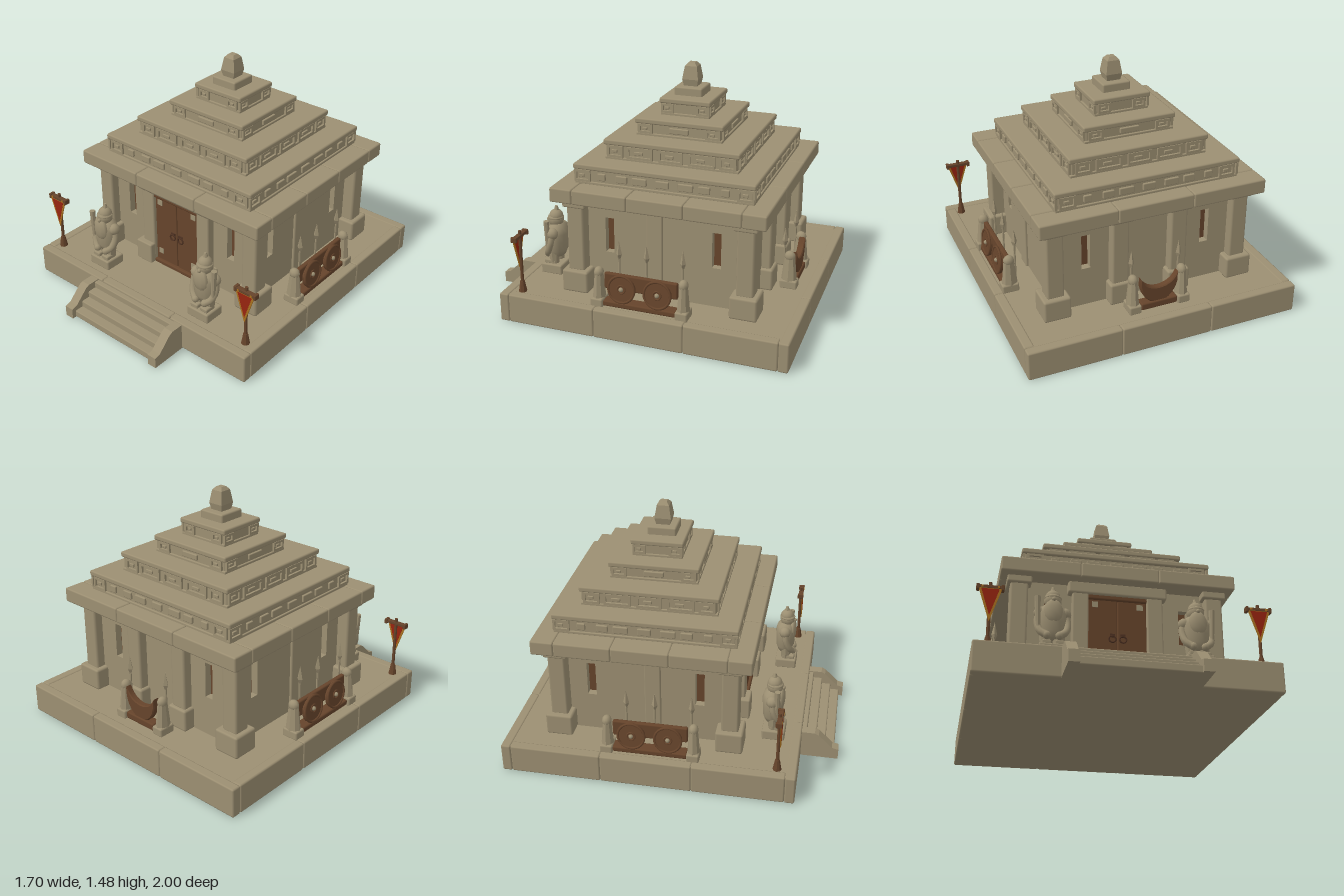
import * as THREE from 'three';
import { toCreasedNormals } from 'three/addons/utils/BufferGeometryUtils.js';
import { RoundedBoxGeometry } from 'three/addons/geometries/RoundedBoxGeometry.js';

const mat = (name, color) => Object.assign(new THREE.MeshStandardMaterial({ color }), { name });
const stone = mat('sandstone', 0x9c8f72);
const wood = mat('brown wood', 0x66442b);
const darkWood = mat('dark wood', 0x4f3222);
const red = mat('red cloth', 0x98240f);
const gold = mat('gold trim', 0xa9701f);
const CZ = -0.165; // centre of the building in z

const shapeOf = (pts, C = THREE.Shape) => new C(pts.map(q => new THREE.Vector2(...q)));
const rect = (C, x, y, a, b) => shapeOf([[x - a, y - b], [x + a, y - b], [x + a, y + b], [x - a, y + b]], C);

function add(parent, name, geo, material, x = 0, y = 0, z = 0) {
  const m = new THREE.Mesh(geo, material);
  m.name = name;
  m.position.set(x, y, z);
  parent.add(m);
  return m;
}
function group(parent, name, x = 0, y = 0, z = 0, ry = 0) {
  const g = new THREE.Group();
  g.name = name;
  g.position.set(x, y, z);
  g.rotation.y = ry;
  parent.add(g);
  return g;
}
// Worn block given by its limits
function block(p, name, x0, x1, y0, y1, z0, z1, m = stone, r = 0.01) {
  const w = x1 - x0, h = y1 - y0, d = z1 - z0;
  const geo = new RoundedBoxGeometry(w, h, d, 1, Math.min(r, w * 0.3, h * 0.3, d * 0.3));
  return add(p, name, geo, m, (x0 + x1) / 2, (y0 + y1) / 2, (z0 + z1) / 2);
}
// Faceted, optionally tapered post standing on y
function post(p, name, rt, rb, h, n, m, x, y, z, ry = 0) {
  const geo = toCreasedNormals(new THREE.CylinderGeometry(rt, rb, h, n).rotateY(ry), 0.7);
  return add(p, name, geo, m, x, y + h / 2, z);
}
// Slab edged with separate stones
function stoneSlab(p, name, hx, z0, z1, y0, y1, edge, n, drop) {
  const g = group(p, name);
  block(g, 'slabCore', -hx + 0.012, hx - 0.012, y0, y1 - drop, z0 + 0.012, z1 - 0.012);
  for (let i = 0; i < n; i++) {
    const a = -hx + (2 * hx * i) / n, b = a + (2 * hx) / n;
    block(g, 'edgeStone', a, b, y0, y1, z1 - edge, z1);
    block(g, 'edgeStone', a, b, y0, y1, z0, z0 + edge);
    const c = z0 + edge + ((z1 - z0 - 2 * edge) * i) / n, d = c + (z1 - z0 - 2 * edge) / n;
    block(g, 'edgeStone', -hx, -hx + edge, y0, y1, c, d);
    block(g, 'edgeStone', hx - edge, hx, y0, y1, c, d);
  }
}
// Raised rectangular frame with a small boss, facing +z
function carving(p, x, y, z, w, h) {
  const s = rect(THREE.Shape, 0, 0, w / 2, h / 2);
  s.holes.push(rect(THREE.Path, 0, 0, w / 2 - 0.014, h / 2 - 0.014));
  add(p, 'carvedFrame', new THREE.ExtrudeGeometry(s, { depth: 0.014, bevelEnabled: false }), stone, x, y, z);
  block(p, 'carvedBoss', x - w * 0.22, x + w * 0.12, y - h * 0.14, y + h * 0.14, z, z + 0.012, stone, 0.004);
}
// Stepped roof tier: recessed frieze, lip and carvings on four sides
function tier(p, hx, hz, y0, y1, frames, bosses) {
  const g = group(p, 'roofTier', 0, 0, CZ);
  const lip = 0.034;
  block(g, 'frieze', -hx + 0.018, hx - 0.018, y0 - 0.01, y1 - lip + 0.01, -hz + 0.018, hz - 0.018);
  block(g, 'tierLip', -hx, hx, y1 - lip, y1, -hz, hz);
  block(g, 'tierFoot', -hx + 0.008, hx - 0.008, y0 - 0.005, y0 + 0.014, -hz + 0.008, hz - 0.008, stone, 0.005);
  const ym = (y0 + y1 - lip + 0.012) / 2, h = y1 - y0 - lip - 0.014;
  for (let k = 0; k < 4; k++) {
    const side = group(g, 'tierCarvings', 0, 0, 0, (k * Math.PI) / 2);
    const d = (k % 2 ? hx : hz) - 0.019;
    for (const [x, w] of frames) for (const s of x ? [-1, 1] : [1]) carving(side, s * x, ym, d, w, h);
    for (const [x, w] of bosses) for (const s of x ? [-1, 1] : [1])
      block(side, 'carvedTooth', s * x - w, s * x + w, ym - h * 0.3, ym + h * 0.3, d - 0.005, d + 0.013, stone, 0.006);
  }
}
function pillar(p, x, z, baseW) {
  const g = group(p, 'pillar', x, 0, z);
  block(g, 'pillarBase', -baseW, baseW, 0.17, 0.31, -baseW, baseW, stone, 0.014);
  block(g, 'pillarShaft', -0.053, 0.053, 0.3, 0.72, -0.053, 0.053, stone, 0.014);
  block(g, 'pillarCapital', -0.072, 0.072, 0.71, 0.76, -0.072, 0.072);
}
// Wall panel with two deep slit windows, shuttered at the back, facing +z
function wallPanel(p, x, z, ry, halfWidth, windowX) {
  const g = group(p, 'wallPanel', x, 0, z, ry);
  const s = rect(THREE.Shape, 0, 0.47, halfWidth, 0.3);
  for (const sx of [-windowX, windowX]) {
    s.holes.push(rect(THREE.Path, sx, 0.53, 0.027, 0.11));
    add(g, 'windowShutter', new THREE.BoxGeometry(0.054, 0.22, 0.008), wood, sx, 0.53, 0.002);
  }
  add(g, 'wallFace', new THREE.ExtrudeGeometry(s, { depth: 0.05, bevelEnabled: false }), stone);
}
function spear(p, x, z, top) {
  post(p, 'spearShaft', 0.007, 0.007, top - 0.1, 6, stone, x, 0, z);
  post(p, 'spearHeadLower', 0.018, 0.007, 0.03, 4, stone, x, top - 0.11, z);
  post(p, 'spearHeadTip', 0.001, 0.018, 0.08, 4, stone, x, top - 0.08, z);
}
// Tapered stone bollards that hold each rack
function rackPosts(g, d) {
  for (const s of [-1, 1]) {
    block(g, 'rackFoot', s * d - 0.038, s * d + 0.038, -0.01, 0.045, -0.05, 0.055);
    post(g, 'rackPost', 0.031, 0.05, 0.17, 8, stone, s * d, 0.03, 0).scale.x = 0.78;
    add(g, 'rackPostCap', new THREE.SphereGeometry(0.034, 10, 6), stone, s * d, 0.195, 0).scale.x = 0.85;
  }
}
function shieldRack(p, x, ry) {
  const g = group(p, 'shieldRack', x, 0.18, -0.1, ry);
  rackPosts(g, 0.26);
  block(g, 'rackBoard', -0.225, 0.225, 0.1, 0.2, -0.02, 0.01, wood);
  block(g, 'rackShelf', -0.225, 0.225, 0.0, 0.035, -0.035, 0.04, wood);
  for (const sx of [-0.11, 0.11]) {
    const sh = group(g, 'roundShield', sx, 0.118, 0.022);
    sh.rotation.x = -0.12;
    add(sh, 'shieldDisc', new THREE.CylinderGeometry(0.084, 0.084, 0.018, 24).rotateX(Math.PI / 2), wood);
    add(sh, 'shieldRim', new THREE.TorusGeometry(0.08, 0.008, 6, 24), wood, 0, 0, 0.008);
    add(sh, 'shieldRing', new THREE.TorusGeometry(0.024, 0.005, 6, 16), wood, 0, 0, 0.009);
    add(sh, 'shieldBoss', new THREE.SphereGeometry(0.014, 10, 6), stone, 0, 0, 0.01);
  }
  for (const sx of [-0.15, 0.02, 0.24]) spear(g, sx, -0.045, 0.385);
}
function hornRack(p) {
  const g = group(p, 'hornRack', 0, 0.18, -0.835, Math.PI);
  rackPosts(g, 0.155);
  block(g, 'hornShelf', -0.115, 0.115, 0, 0.045, -0.02, 0.045, wood);
  const s = new THREE.Shape();
  s.moveTo(-0.115, 0.2);
  s.bezierCurveTo(-0.12, -0.02, 0.12, -0.02, 0.115, 0.2);
  s.bezierCurveTo(0.08, 0.1, -0.08, 0.1, -0.115, 0.2);
  const geo = new THREE.ExtrudeGeometry(s, { depth: 0.03, bevelSize: 0.006, bevelThickness: 0.006, bevelSegments: 1 });
  add(g, 'horn', toCreasedNormals(geo, 0.6), wood, 0, 0, 0);
  for (const sx of [-0.15, 0.15]) spear(g, sx, -0.035, 0.37);
}
// Bearded guardian with a club on its outer side
function statue(p, side) {
  const g = group(p, 'guardianStatue', side * 0.412, 0.18, 0.587);
  block(g, 'statuePlinth', -0.08, 0.08, -0.01, 0.055, -0.055, 0.083);
  const pts = [[0, 0.09], [0.055, 0.1], [0.076, 0.14], [0.08, 0.2], [0.085, 0.25], [0.073, 0.29], [0.035, 0.32], [0, 0.325]];
  const body = new THREE.LatheGeometry(pts.map(q => new THREE.Vector2(...q)), 14).scale(1, 1, 0.78);
  add(g, 'statueTorso', body, stone);
  add(g, 'statueHead', new THREE.SphereGeometry(0.05, 12, 9), stone, 0, 0.335, 0.008);
  add(g, 'helmetRim', new THREE.TorusGeometry(0.042, 0.009, 6, 14).rotateX(Math.PI / 2), stone, 0, 0.35, 0.008);
  add(g, 'helmetDome', new THREE.SphereGeometry(0.044, 12, 8), stone, 0, 0.358, 0.005);
  post(g, 'helmetCrest', 0.008, 0.02, 0.04, 8, stone, 0, 0.385, 0.002);
  add(g, 'statueBeard', new THREE.SphereGeometry(0.055, 10, 8).scale(1, 1.4, 0.5), stone, 0, 0.255, 0.045);
  add(g, 'statueNose', new THREE.SphereGeometry(0.013, 8, 6), stone, 0, 0.328, 0.057);
  for (const s of [-1, 1]) {
    add(g, 'statueShoulder', new THREE.SphereGeometry(0.038, 10, 8), stone, s * 0.068, 0.262, 0);
    const arm = new THREE.CatmullRomCurve3([[0.076, 0.26, 0], [0.084, 0.2, 0.01], [0.07, 0.14, 0.035], [0.035, 0.11, 0.055]].map(q => new THREE.Vector3(q[0] * s, q[1], q[2])));
    add(g, 'statueArm', new THREE.TubeGeometry(arm, 8, 0.021, 8), stone);
    add(g, 'statueHand', new THREE.SphereGeometry(0.023, 8, 6), stone, s * 0.035, 0.11, 0.055);
    post(g, 'statueLeg', 0.038, 0.028, 0.09, 8, stone, s * 0.036, 0.045, 0.01);
    block(g, 'statueFoot', s * 0.036 - 0.028, s * 0.036 + 0.028, 0.05, 0.08, -0.01, 0.07);
  }
  post(g, 'statueClub', 0.018, 0.013, 0.2, 8, stone, side * 0.085, 0.15, 0.03).rotation.z = -side * 0.04;
}
function banner(p, side) {
  const g = group(p, 'banner', side * 0.765, 0.18, 0.655);
  post(g, 'bannerFoot', 0.014, 0.026, 0.07, 8, wood, 0, -0.005, 0);
  post(g, 'bannerPole', 0.01, 0.01, 0.39, 8, wood, 0, 0, 0);
  block(g, 'bannerCrossbar', -0.076, 0.076, 0.348, 0.368, -0.012, 0.018, wood, 0.004);
  for (const s of [-1, 1]) {
    block(g, 'crossbarEnd', s * 0.068 - 0.009, s * 0.068 + 0.009, 0.34, 0.373, -0.017, 0.021, wood, 0.004);
    add(g, 'crossbarStud', new THREE.BoxGeometry(0.012, 0.012, 0.006), gold, s * 0.045, 0.358, 0.018);
  }
  const flag = (w, top, tip, d) =>
    new THREE.ExtrudeGeometry(shapeOf([[-w, top], [0, tip], [w, top]]), { depth: d, bevelEnabled: false }).translate(0, 0, -d / 2);
  add(g, 'bannerTrim', flag(0.065, 0.35, 0.152, 0.006), gold, 0, 0, 0.013);
  add(g, 'bannerCloth', flag(0.05, 0.345, 0.187, 0.009), red, 0, 0, 0.013);
}

export function createModel() {
  const root = new THREE.Group();
  root.name = 'steppedTemple';

  // Platform and stairs
  stoneSlab(root, 'platform', 0.85, -1, 0.77, 0, 0.18, 0.06, 3, 0.005);
  const stairs = group(root, 'stairs');
  for (let i = 0; i < 4; i++)
    block(stairs, 'stairTread', -0.33, 0.33, 0, 0.165 - i * 0.04, 0.74, 0.8 + i * 0.058, stone, 0.007);
  const cheek = shapeOf([[-0.75, 0.172], [-0.85, 0.172], [-0.875, 0.16], [-0.96, 0.078], [-1, 0.068], [-1, 0], [-0.75, 0]]);
  for (const x of [-0.38, 0.32])
    add(stairs, 'stairCheek', new THREE.ExtrudeGeometry(cheek, { depth: 0.06, bevelEnabled: false }).rotateY(Math.PI / 2), stone, x);

  // Walls with windows, and pillars
  block(root, 'wallCore', -0.51, 0.51, 0.17, 0.77, -0.63, 0.3);
  wallPanel(root, 0, 0.3, 0, 0.56, 0.405);
  wallPanel(root, 0, -0.63, Math.PI, 0.56, 0.38);
  for (const s of [-1, 1]) {
    wallPanel(root, s * 0.51, CZ, (s * Math.PI) / 2, 0.515, 0.33);
    pillar(root, s * 0.585, 0.355, 0.083);
    pillar(root, s * 0.585, -0.685, 0.083);
    pillar(root, s * 0.185, -0.685, 0.07);
    block(root, 'sidePilaster', s * 0.56 - 0.015, s * 0.56 + 0.015, 0.17, 0.76, -0.17, -0.07);
  }

  // Doorway
  const door = group(root, 'doorway');
  block(door, 'doorSill', -0.18, 0.18, 0.17, 0.2, 0.33, 0.4, wood);
  block(door, 'doorLintel', -0.297, 0.297, 0.68, 0.76, 0.32, 0.41, stone, 0.014);
  block(door, 'doorHeader', -0.18, 0.18, 0.655, 0.69, 0.34, 0.395, wood);
  for (const s of [-1, 1]) {
    block(door, 'doorJamb', s * 0.223 - 0.048, s * 0.223 + 0.048, 0.17, 0.69, 0.33, 0.4);
    block(door, 'jambBase', s * 0.24 - 0.063, s * 0.24 + 0.063, 0.17, 0.31, 0.33, 0.435);
    block(door, 'doorLeaf', s * 0.088 - 0.086, s * 0.088 + 0.086, 0.19, 0.66, 0.34, 0.38, wood, 0.005);
    add(door, 'doorRing', new THREE.TorusGeometry(0.02, 0.005, 6, 16), darkWood, s * 0.032, 0.41, 0.385);
    add(door, 'doorRingPlate', new THREE.BoxGeometry(0.03, 0.02, 0.008), darkWood, s * 0.03, 0.433, 0.382);
    for (const y of [0.265, 0.625])
      add(door, 'doorCornerPlate', new THREE.BoxGeometry(0.036, 0.036, 0.008), stone, s * 0.135, y, 0.38);
  }

  // Eaves, stepped roof and finial
  stoneSlab(root, 'eaves', 0.7, CZ - 0.65, CZ + 0.65, 0.75, 0.84, 0.14, 3, 0.006);
  tier(root, 0.575, 0.552, 0.84, 0.96, [[0.495, 0.1]], [[0, 0.04], [0.14, 0.045], [0.25, 0.035], [0.375, 0.025]]);
  tier(root, 0.435, 0.418, 0.96, 1.08, [[0.345, 0.1], [0.19, 0.16], [0, 0.15]], []);
  tier(root, 0.29, 0.275, 1.08, 1.185, [[0.21, 0.09]], [[0, 0.06]]);
  tier(root, 0.18, 0.16, 1.185, 1.29, [[0.11, 0.08]], []);
  const top = group(root, 'finial', 0, 0, CZ + 0.01);
  block(top, 'finialBase', -0.088, 0.088, 1.28, 1.34, -0.088, 0.088);
  const q = Math.PI / 4;
  post(top, 'finialNeck', 0.071, 0.057, 0.045, 4, stone, 0, 1.335, 0, q);
  post(top, 'finialBody', 0.053, 0.071, 0.08, 4, stone, 0, 1.38, 0, q);
  post(top, 'finialCrown', 0.028, 0.053, 0.02, 4, stone, 0, 1.46, 0, q);

  // Courtyard furnishings
  for (const s of [-1, 1]) {
    shieldRack(root, s * 0.743, (s * Math.PI) / 2);
    statue(root, s);
    banner(root, s);
  }
  hornRack(root);
  return root;
}
